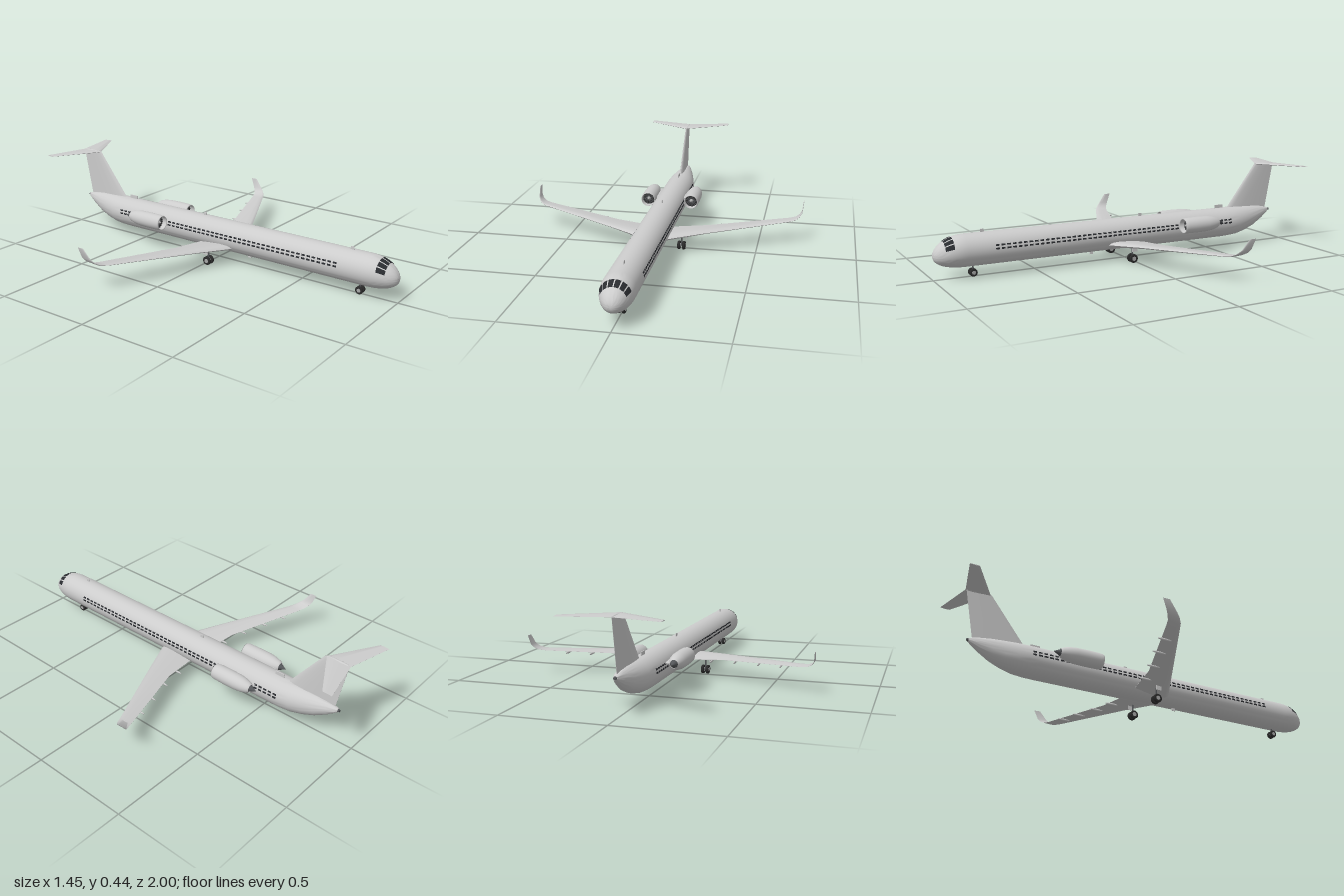
import * as THREE from 'three';
import { mergeGeometries, toCreasedNormals } from 'three/addons/utils/BufferGeometryUtils.js';

const mat = (name, color, side = THREE.FrontSide) => Object.assign(new THREE.MeshStandardMaterial({ color, side }), { name });

// Skin a list of closed rings, cap both ends and make the faces point outward
function loft(rings, crease = 0.7) {
  const n = rings[0].length, pos = rings.flat(), idx = [];
  for (let i = 0; i < rings.length - 1; i++) {
    for (let j = 0; j < n; j++) {
      const a = i * n + j, b = i * n + (j + 1) % n;
      idx.push(a, b, a + n, b, b + n, a + n);
    }
  }
  const last = (rings.length - 1) * n;
  for (let j = 1; j < n - 1; j++) idx.push(0, j + 1, j, last, last + j, last + j + 1);
  let volume = 0;
  for (let i = 0; i < idx.length; i += 3) {
    volume += pos[idx[i]].dot(pos[idx[i + 1]].clone().cross(pos[idx[i + 2]]));
  }
  if (volume < 0) idx.reverse();
  const g = new THREE.BufferGeometry().setFromPoints(pos);
  g.setIndex(idx);
  return toCreasedNormals(g, crease);
}

// Airfoil ring: leading edge z, trailing edge z, thickness, tilt about z
const AIRFOIL = [[0, 0], [0.03, 0.25], [0.12, 0.44], [0.35, 0.5], [0.7, 0.28], [1, 0.03],
  [1, -0.03], [0.7, -0.28], [0.35, -0.5], [0.12, -0.44], [0.03, -0.25]];
const airfoil = (x, y, lead, trail, thick, tilt = 0) => AIRFOIL.map(([c, t]) =>
  new THREE.Vector3(x - Math.sin(tilt) * t * thick, y + Math.cos(tilt) * t * thick, lead + (trail - lead) * c));

// Fuselage stations: z, centre y, half width, half height
const R = 0.0785, YC = 0.129;
const STATIONS = [];
for (let i = 0; i <= 12; i++) {
  const a = Math.max(i / 12, 0.01) * Math.PI / 2, s = Math.sin(a);
  STATIONS.push([1 - 0.15 * (1 - Math.cos(a)), 0.113 + 0.016 * s * s, R * s, R * s]);
}
STATIONS.push([-0.58, YC, R, R], [-0.63, 0.13, 0.077, 0.078], [-0.68, 0.132, 0.072, 0.076], [-0.74, 0.138, 0.06, 0.068],
  [-0.8, 0.148, 0.046, 0.055], [-0.86, 0.162, 0.028, 0.034], [-0.9, 0.172, 0.014, 0.0145], [-0.91, 0.175, 0.009, 0.009]);

// Point on the fuselage; the angle is measured from the top
function hull(z, angle, lift = 0) {
  const i = Math.max(1, STATIONS.findIndex((s) => s[0] <= z));
  const a = STATIONS[i - 1], b = STATIONS[i], t = (z - a[0]) / (b[0] - a[0]);
  const [, y, rx, ry] = a.map((v, k) => v + (b[k] - v) * t);
  return new THREE.Vector3(Math.sin(angle) * (rx + lift), y + Math.cos(angle) * (ry + lift), z);
}

export function createModel() {
  const model = new THREE.Group();
  model.name = 'airliner';
  const paint = mat('light grey paint', 0xcccccc);
  const shell = mat('nacelle grey', 0xcccccc, THREE.DoubleSide);
  const glass = mat('dark glass', 0x2a2c30, THREE.DoubleSide);
  const rubber = mat('black rubber', 0x2b2b2b);
  const metal = mat('dark metal', 0x55575a);
  const hubMetal = mat('hub metal', 0xa8a8a8);

  const add = (name, geometry, material, parent = model) => {
    const m = new THREE.Mesh(geometry, material);
    m.name = name;
    parent.add(m);
    return m;
  };
  const box = (w, h, d, x, y, z) => new THREE.BoxGeometry(w, h, d).translate(x, y, z);

  // Fuselage
  add('fuselage', loft(STATIONS.map(([z, y, rx, ry]) => Array.from({ length: 48 }, (_, j) => {
    const a = j / 48 * Math.PI * 2;
    return new THREE.Vector3(Math.sin(a) * rx, y + Math.cos(a) * ry, z);
  }))), paint);
  add('tailExhaust', new THREE.CylinderGeometry(0.006, 0.009, 0.01, 16).rotateX(-Math.PI / 2).translate(0, 0.175, -0.913), metal);

  // Two rows of cabin windows on each side
  const windows = [];
  for (const s of [-1, 1]) {
    for (const y of [0.153, 0.137]) {
      const a = Math.asin((y - YC) / R);
      for (let i = 0; i < 48; i++) {
        const z = 0.71 - i * 0.028;
        windows.push(new THREE.BoxGeometry(0.003, 0.008, 0.018).rotateZ(s * a).translate(s * Math.cos(a) * R, y, z));
      }
    }
  }
  add('cabinWindows', mergeGeometries(windows), glass);

  // Cockpit windows follow the nose
  const panes = [];
  for (const s of [-1, 1]) {
    for (const [from, to] of [[0.04, 0.38], [0.46, 0.8], [0.88, 1.22]]) {
      const g = new THREE.PlaneGeometry(1, 1, 5, 5), p = g.attributes.position;
      for (let i = 0; i < p.count; i++) {
        const v = hull(0.93 + p.getY(i) * 0.04, s * (from + (to - from) * (p.getX(i) + 0.5)), 0.0015);
        p.setXYZ(i, v.x, v.y, v.z + 0.001);
      }
      g.computeVertexNormals();
      panes.push(g);
    }
  }
  add('cockpitWindows', mergeGeometries(panes), glass);

  // Fin and tailplane
  add('fin', loft([airfoil(0, 0.17, -0.61, -0.888, 0.024, Math.PI / 2), airfoil(0, 0.2, -0.63, -0.895, 0.023, Math.PI / 2),
    airfoil(0, 0.434, -0.813, -0.94, 0.012, Math.PI / 2)].map((r, i) => r.map((v) => v.setY([0.17, 0.2, 0.434][i])
    .setX([0.024, 0.023, 0.012][i] * -AIRFOIL[0][1] + v.x))), 0.9), paint);
  for (const s of [-1, 1]) {
    add('tailplane', loft([airfoil(0, 0.434, -0.82, -0.945, 0.011), airfoil(s * 0.23, 0.435, -0.952, -1, 0.004)]), paint);
  }
  add('finCap', new THREE.SphereGeometry(1, 16, 10).scale(0.009, 0.007, 0.065).translate(0, 0.434, -0.878), paint);

  // Antennas along the spine and belly
  for (const [z, y, length, height] of [[0.76, 0.212, 0.018, 0.02], [-0.09, 0.212, 0.018, 0.02],
    [-0.58, 0.212, 0.05, 0.026], [0.19, 0.046, 0.018, 0.02]]) {
    add('antenna', box(0.004, height, length, 0, y, z), paint);
  }

  for (const s of [-1, 1]) {
    // Wing blending into an upturned winglet
    add('wing', loft([
      [0, 0.08, 0.155, -0.065, 0.036], [0.08, 0.088, 0.116, -0.07, 0.028], [0.243, 0.1, 0.037, -0.09, 0.017],
      [0.65, 0.121, -0.161, -0.23, 0.008], [0.685, 0.126, -0.178, -0.243, 0.006, 0.4],
      [0.706, 0.138, -0.195, -0.256, 0.005, 0.9], [0.718, 0.156, -0.215, -0.268, 0.004, 1.35],
      [0.724, 0.205, -0.253, -0.288, 0.003, 1.57],
    ].map(([x, y, lead, trail, thick, tilt = 0]) => airfoil(s * x, y, lead, trail, thick, s * tilt))), paint);

    // Flap track fairings
    for (const [x, y, z] of [[0.18, 0.087, -0.075], [0.307, 0.096, -0.1], [0.435, 0.103, -0.142], [0.55, 0.109, -0.18]]) {
      add('flapFairing', new THREE.SphereGeometry(1, 10, 8).scale(0.004, 0.006, 0.037).translate(s * x, y, z), paint);
    }

    // Rear engine, axis along z
    const engine = new THREE.Group();
    engine.name = 'engine';
    engine.position.set(s * 0.118, 0.156, -0.28);
    model.add(engine);
    const profile = [[0.02, -0.218], [0.027, -0.207], [0.036, -0.175], [0.04, -0.14], [0.041, -0.08], [0.04, -0.02], [0.038, -0.005],
      [0.036, 0], [0.034, -0.005], [0.033, -0.035]].map(([r, z]) => new THREE.Vector2(r, z));
    add('nacelle', new THREE.LatheGeometry(profile, 32).rotateX(Math.PI / 2), shell, engine);
    add('fanDisc', new THREE.CircleGeometry(0.034, 32).translate(0, 0, -0.03), rubber, engine);
    const blades = [];
    for (let i = 0; i < 18; i++) {
      blades.push(new THREE.BoxGeometry(0.003, 0.024, 0.002).translate(0, 0.02, -0.027).rotateZ(i / 18 * Math.PI * 2));
    }
    add('fanBlades', mergeGeometries(blades), metal, engine);
    add('spinner', new THREE.ConeGeometry(0.011, 0.02, 20).rotateX(Math.PI / 2).translate(0, 0, -0.018), hubMetal, engine);
    add('exhaustCone', new THREE.ConeGeometry(0.019, 0.04, 20).rotateX(-Math.PI / 2).translate(0, 0, -0.232), metal, engine);
    add('enginePylon', loft([airfoil(s * 0.06, 0.155, -0.33, -0.5, 0.016), airfoil(s * 0.1, 0.156, -0.33, -0.485, 0.016)]), paint);

    // Main gear door
    add('gearDoor', box(0.003, 0.026, 0.03, s * 0.148, 0.073, 0.02), paint);
  }

  // Landing gear: nose leg and two main legs, each with twin wheels
  for (const [x, z, r, gap] of [[0, 0.81, 0.019, 0.011], [0.122, 0.02, 0.022, 0.0125], [-0.122, 0.02, 0.022, 0.0125]]) {
    const gear = new THREE.Group();
    gear.name = x ? 'mainGear' : 'noseGear';
    gear.position.set(x, r, z);
    model.add(gear);
    add('leg', new THREE.CylinderGeometry(0.004, 0.004, 0.065, 10).translate(0, 0.033, 0), metal, gear);
    add('axle', new THREE.CylinderGeometry(0.004, 0.004, gap * 2, 10).rotateZ(Math.PI / 2), metal, gear);
    for (const s of [-1, 1]) {
      const tyre = [[0.4, -0.006], [0.85, -0.0075], [1, -0.004], [1, 0.004], [0.85, 0.0075], [0.4, 0.006]]
        .map(([k, w]) => new THREE.Vector2(k * r, w));
      add('tyre', new THREE.LatheGeometry(tyre, 24).rotateZ(Math.PI / 2).translate(s * gap, 0, 0), rubber, gear);
      add('hub', new THREE.CylinderGeometry(r * 0.5, r * 0.5, 0.0145, 16).rotateZ(Math.PI / 2).translate(s * gap, 0, 0), hubMetal, gear);
    }
  }
  return model;
}
